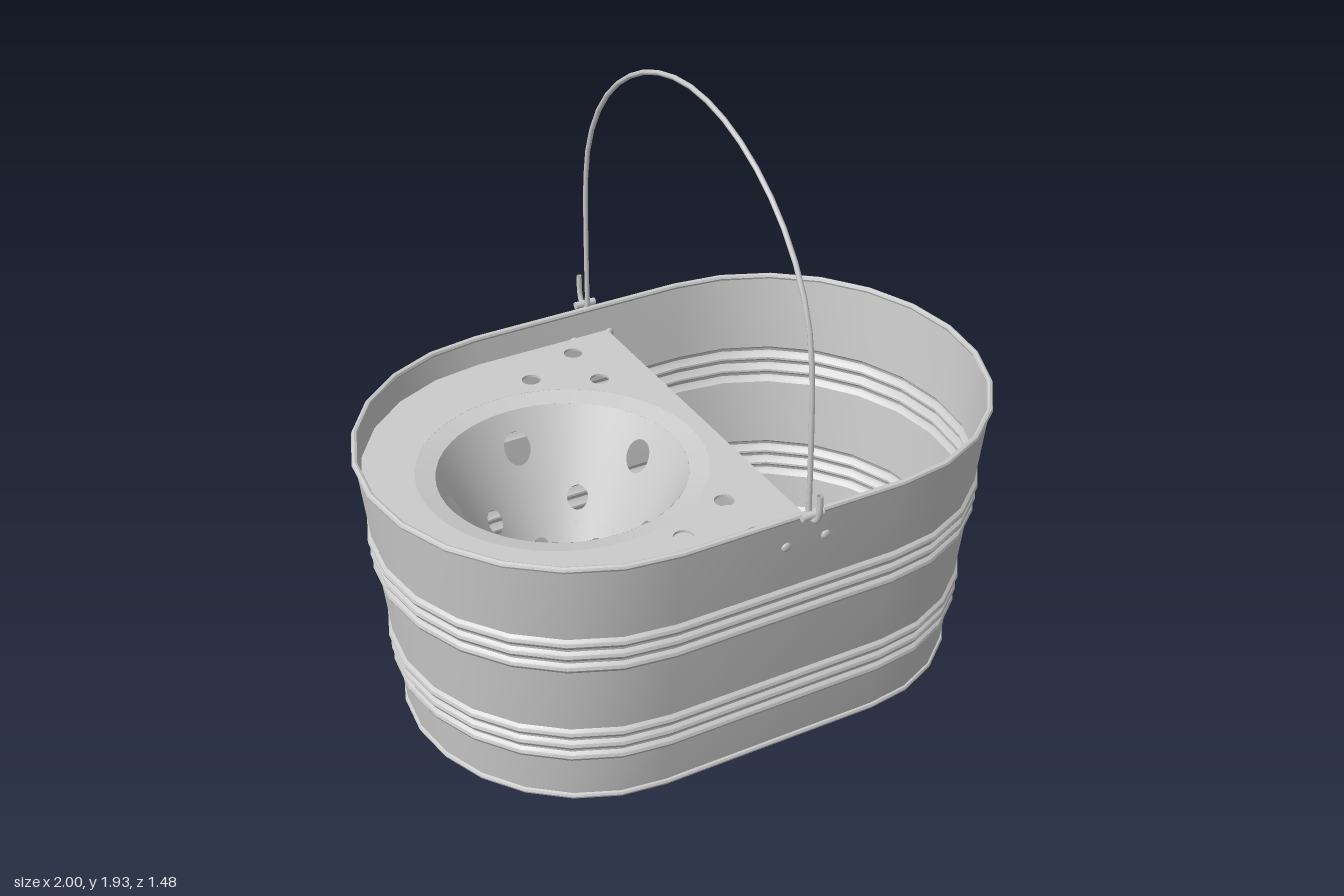
import * as THREE from 'three';
import { toCreasedNormals } from 'three/addons/utils/BufferGeometryUtils.js';

const steel = new THREE.MeshStandardMaterial({ color: 0xcccccc, side: THREE.DoubleSide });

const HEIGHT = 0.89, FLARE = 0.1;
const flareAt = (y) => (FLARE * y) / HEIGHT;

function add(parent, name, geometry) {
  const mesh = new THREE.Mesh(geometry, steel);
  mesh.name = name;
  parent.add(mesh);
  return mesh;
}

// Oblong plan with rounded ends, grown outwards by d: [x, z] pairs
function outline(d, steps = 12) {
  const pts = [];
  for (const side of [1, -1]) {
    for (let i = 0; i <= steps; i++) {
      const a = -Math.PI / 2 + (i / steps) * Math.PI;
      pts.push([side * (0.36 + (0.53 + d) * Math.cos(a)), side * (0.57 + d) * Math.sin(a)]);
    }
  }
  return pts;
}

// Joins oblong rings given as [d, y] into a skin
function sweep(profile) {
  const pos = [], index = [];
  const n = outline(0).length;
  for (const [d, y] of profile) for (const [x, z] of outline(d)) pos.push(x, y, z);
  for (let r = 0; r < profile.length - 1; r++) {
    for (let i = 0; i < n; i++) {
      const a = r * n + i, b = r * n + ((i + 1) % n);
      index.push(a, a + n, b, b, a + n, b + n);
    }
  }
  const g = new THREE.BufferGeometry();
  g.setAttribute('position', new THREE.Float32BufferAttribute(pos, 3));
  g.setIndex(index);
  return toCreasedNormals(g, 0.5);
}

// Small round bead running around the oblong
function bead(d, y, r) {
  const profile = [];
  for (let i = 0; i <= 8; i++) {
    const a = (i / 8) * Math.PI * 2;
    profile.push([d + r * Math.cos(a), y + r * Math.sin(a)]);
  }
  return sweep(profile);
}

function flatOblong(d, y) {
  const shape = new THREE.Shape(outline(d).map(([x, z]) => new THREE.Vector2(x, z)));
  return new THREE.ShapeGeometry(shape).rotateX(Math.PI / 2).translate(0, y, 0);
}

// Perforated cone: each sector is a patch running from an oval hole to its border
const BOWL = { x: -0.39, top: 0.79, rTop: 0.375, rBottom: 0.14, depth: 0.45 };
function perforatedCone() {
  const pos = [], nor = [], index = [];
  const N = 32, LAYERS = 4, rise = BOWL.rTop - BOWL.rBottom;
  const len = Math.hypot(rise, BOWL.depth);
  const bands = [
    // count, first angle (degrees), outer r, inner r, hole r, hole half width, hole half height
    [5, -90, 0.375, 0.28, 0.32, 0.043, 0.025],
    [5, -54, 0.28, 0.205, 0.24, 0.033, 0.018],
    [6, -90, 0.205, 0.14, 0.175, 0.026, 0.012],
  ];
  for (const [count, first, rOut, rIn, rHole, w, h] of bands) {
    for (let k = 0; k < count; k++) {
      const mid = THREE.MathUtils.degToRad(first + (360 / count) * k);
      const base = pos.length / 3;
      for (let j = 0; j <= LAYERS; j++) {
        for (let i = 0; i < N; i++) {
          const a = (i / N) * Math.PI * 2, c = Math.cos(a), s = Math.sin(a);
          // even spacing along the border of the square
          const tri = (t) => THREE.MathUtils.clamp(4 * Math.abs(t - Math.floor(t + 0.5)) * 2 - 2, -1, 1);
          const sx = -tri(i / N), sy = -tri(i / N - 0.25);
          const t = j / LAYERS;
          const th = mid + THREE.MathUtils.lerp((w / rHole) * c, (Math.PI / count) * sx, t);
          const r = THREE.MathUtils.lerp(rHole + h * s, (rOut + rIn) / 2 + ((rOut - rIn) / 2) * sy, t);
          pos.push(r * Math.cos(th), ((r - BOWL.rTop) / rise) * BOWL.depth, r * Math.sin(th));
          nor.push((Math.cos(th) * BOWL.depth) / len, -rise / len, (Math.sin(th) * BOWL.depth) / len);
        }
      }
      for (let j = 0; j < LAYERS; j++) {
        for (let i = 0; i < N; i++) {
          const p = base + j * N + i, q = base + j * N + ((i + 1) % N);
          index.push(p, q, p + N, q, q + N, p + N);
        }
      }
    }
  }
  const g = new THREE.BufferGeometry();
  g.setAttribute('position', new THREE.Float32BufferAttribute(pos, 3));
  g.setAttribute('normal', new THREE.Float32BufferAttribute(nor, 3));
  g.setIndex(index);
  return g;
}

function wire(points, x, radius, segments) {
  const curve = new THREE.CatmullRomCurve3(points.map(([z, y]) => new THREE.Vector3(x, y, z)));
  return new THREE.TubeGeometry(curve, segments, radius, 8);
}

export function createModel() {
  const model = new THREE.Group();

  // Flared wall with two groups of three raised ribs
  const profile = [[0, 0.005]];
  for (const y of [0.175, 0.22, 0.265, 0.525, 0.57, 0.615]) {
    for (const [dy, out] of [[-0.019, 0], [-0.01, 0.01], [0, 0.014], [0.01, 0.01], [0.019, 0]]) {
      profile.push([flareAt(y + dy) + out, y + dy]);
    }
  }
  profile.push([FLARE, HEIGHT]);
  add(model, 'wall', sweep(profile));
  add(model, 'topRim', bead(FLARE, HEIGHT, 0.01));
  add(model, 'bottomRim', bead(0, 0.01, 0.01));

  // Base, with a chamfer up to the wall inside
  add(model, 'base', flatOblong(0, 0.004));
  add(model, 'floor', flatOblong(-0.035, 0.012));
  add(model, 'floorChamfer', sweep([[0.004, 0.04], [-0.035, 0.012]]));

  // Wringer plate over the right half, with an opening and six drain holes
  const edge = 0.1;
  const rim = outline(flareAt(0.8) - 0.004).filter(([x]) => x < 0).map(([x, z]) => new THREE.Vector2(x, z));
  const halfWidth = Math.abs(rim[0].y);
  const plate = new THREE.Shape([
    new THREE.Vector2(edge, halfWidth), ...rim, new THREE.Vector2(edge, -halfWidth),
  ]);
  const cut = (x, z, r) => plate.holes.push(new THREE.Path().absarc(x, z, r, 0, Math.PI * 2, true));
  cut(BOWL.x, 0, 0.435);
  for (const s of [1, -1]) {
    cut(-0.065, s * 0.575, 0.03);
    cut(-0.065, s * 0.39, 0.03);
    cut(-0.255, s * 0.49, 0.03);
  }
  const plateGeo = new THREE.ExtrudeGeometry(plate, { depth: 0.008, bevelEnabled: false, curveSegments: 24 });
  add(model, 'wringerPlate', plateGeo.rotateX(Math.PI / 2).translate(0, 0.804, 0));

  // Perforated wringer cone with a shallow collar and closed bottom
  const wringer = new THREE.Group();
  wringer.name = 'wringerCone';
  wringer.position.set(BOWL.x, BOWL.top, 0);
  model.add(wringer);
  add(wringer, 'collar', new THREE.LatheGeometry(
    [new THREE.Vector2(BOWL.rTop, 0), new THREE.Vector2(0.437, 0.014)], 48));
  add(wringer, 'coneWall', perforatedCone());
  add(wringer, 'coneBottom', new THREE.CircleGeometry(BOWL.rBottom, 40).rotateX(-Math.PI / 2))
    .position.y = -BOWL.depth;

  // Arched wire handle
  const hx = 0.04;
  const arch = [[0.675, 0.9], [0.675, 1.05], [0.673, 1.19], [0.668, 1.33], [0.648, 1.46],
    [0.587, 1.6], [0.48, 1.73], [0.34, 1.83], [0.18, 1.895]];
  const mirrored = arch.map(([z, y]) => [-z, y]).reverse();
  add(model, 'handle', wire([...arch, [0, 1.92], ...mirrored], hx, 0.008, 30));

  // Handle hooks, ears and rivets on both sides
  for (const s of [1, -1]) {
    const hook = [[0.675, 0.93], [0.677, 0.9], [0.692, 0.888], [0.715, 0.893], [0.728, 0.92], [0.731, 0.985]];
    add(model, 'handleHook', wire(hook.map(([z, y]) => [s * z, y]), hx, 0.009, 14));
    add(model, 'handleEar', new THREE.CylinderGeometry(0.012, 0.012, 0.07, 10).rotateZ(Math.PI / 2))
      .position.set(hx, 0.9, s * 0.694);
    for (const x of [-0.02, 0.11]) {
      const rivet = add(model, 'rivet', new THREE.SphereGeometry(0.016, 12, 8));
      rivet.scale.z = 0.5;
      rivet.position.set(x, 0.79, s * (0.57 + flareAt(0.79)));
    }
  }
  return model;
}
